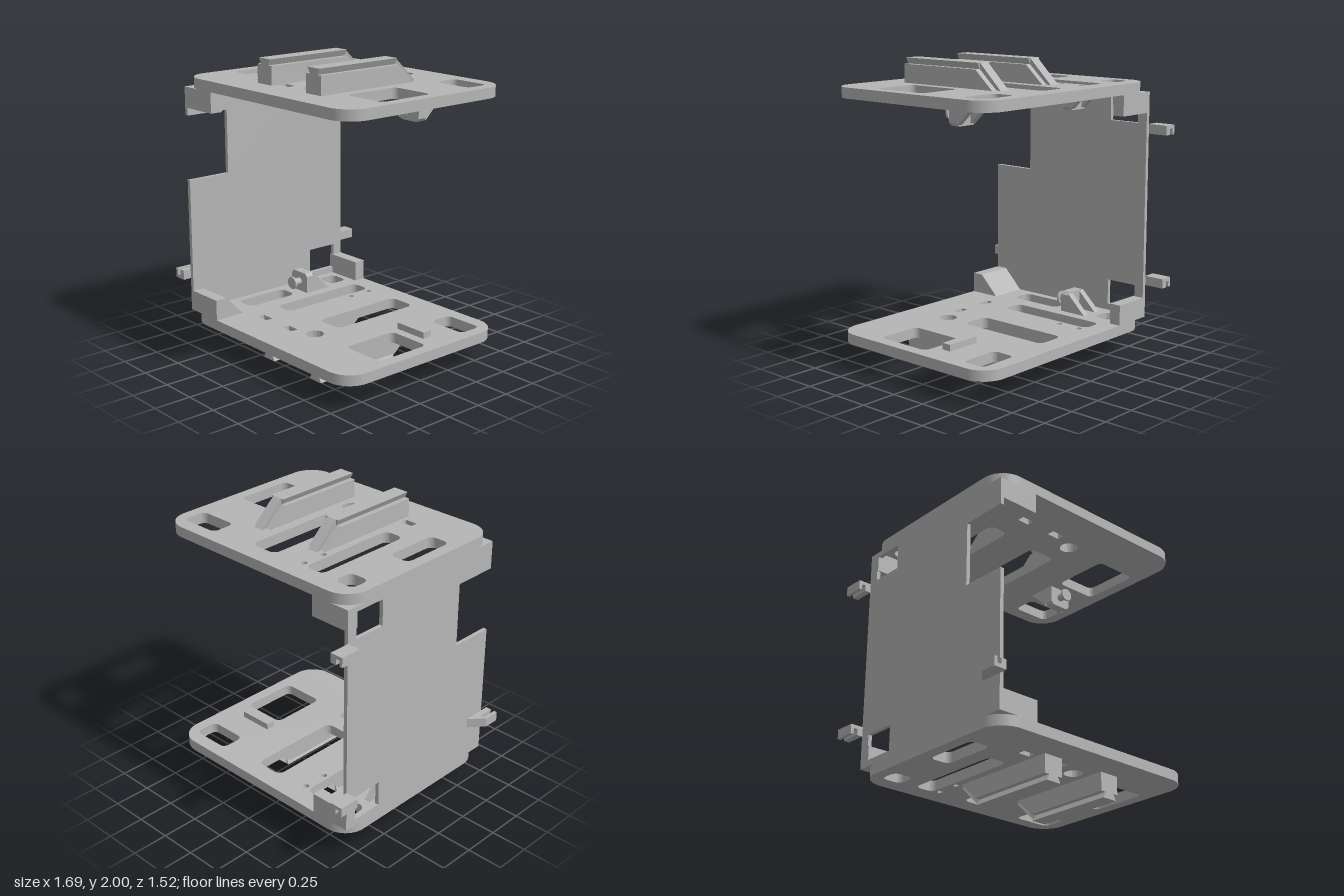
import * as THREE from 'three';

const grey = new THREE.MeshStandardMaterial({ color: 0xb6b6b6 });
grey.name = 'plain grey';
const MID = 1; // height of the symmetry plane between the two decks
const DECK = 1.768, DECK_TOP = 1.838;

function poly(points) {
  return new THREE.Shape(points.map(([a, b]) => new THREE.Vector2(a, b)));
}

// Rounded rectangle, written into a Shape or Path
function roundRect(path, x0, x1, y0, y1, r) {
  path.moveTo(x0 + r, y0);
  path.lineTo(x1 - r, y0);
  path.absarc(x1 - r, y0 + r, r, -Math.PI / 2, 0);
  path.lineTo(x1, y1 - r);
  path.absarc(x1 - r, y1 - r, r, 0, Math.PI / 2);
  path.lineTo(x0 + r, y1);
  path.absarc(x0 + r, y1 - r, r, Math.PI / 2, Math.PI);
  path.lineTo(x0, y0 + r);
  path.absarc(x0 + r, y0 + r, r, Math.PI, Math.PI * 1.5);
  return path;
}

// Extrude an outline of [z, y] points from x0 to x1
function sideways(points, x0, x1, holes = []) {
  const flip = (list) => list.map(([z, y]) => [-z, y]);
  const shape = poly(flip(points));
  shape.holes = holes.map((h) => poly(flip(h)));
  const g = new THREE.ExtrudeGeometry(shape, { depth: x1 - x0, bevelEnabled: false });
  return g.rotateY(Math.PI / 2).translate(x0, 0, 0);
}

// Extrude an outline of [x, y] points from z0 to z1
function forwards(points, z0, z1) {
  return new THREE.ExtrudeGeometry(poly(points), { depth: z1 - z0, bevelEnabled: false }).translate(0, 0, z0);
}

function box(x0, x1, y0, y1, z0, z1) {
  return new THREE.BoxGeometry(x1 - x0, y1 - y0, z1 - z0)
    .translate((x0 + x1) / 2, (y0 + y1) / 2, (z0 + z1) / 2);
}

// Skin two four-sided cross-sections into a closed solid
function loft(s, t) {
  const pos = [];
  const quad = (a, b, c, d) => pos.push(...a, ...b, ...c, ...a, ...c, ...d);
  for (let k = 0; k < 4; k++) {
    const n = (k + 1) % 4;
    quad(s[k], t[k], t[n], s[n]);
  }
  quad(...s);
  quad(...[...t].reverse());
  const g = new THREE.BufferGeometry();
  g.setAttribute('position', new THREE.Float32BufferAttribute(pos, 3));
  g.computeVertexNormals();
  return g;
}

// Mirror a geometry to the lower deck, keeping its faces outward
function mirrored(geometry) {
  const g = geometry.index ? geometry.toNonIndexed() : geometry.clone();
  for (const name of ['position', 'normal']) {
    const a = g.attributes[name];
    const shift = name === 'position' ? 2 * MID : 0;
    for (let i = 0; i < a.count; i += 3) {
      const v = [0, 2, 1].map((k) => [a.getX(i + k), shift - a.getY(i + k), a.getZ(i + k)]);
      v.forEach((p, k) => a.setXYZ(i + k, ...p));
    }
  }
  return g;
}

function deckPlate() {
  const shape = roundRect(new THREE.Shape(), -0.76, 0.84, -0.7, 0.62, 0.16);
  // Openings: x0, x1, z0, z1, corner radius
  const slots = [
    [-0.68, -0.535, -0.5, -0.36, 0.045], [-0.68, -0.535, -0.02, 0.365, 0.045],
    [-0.425, -0.285, -0.485, 0.228, 0.045], [-0.025, 0.175, -0.485, 0.185, 0.045],
    [0.48, 0.76, -0.525, -0.36, 0.04], [0.45, 0.76, -0.035, 0.365, 0.04],
    [-0.345, -0.255, 0.4, 0.45, 0.004], [-0.08, 0.012, 0.4, 0.45, 0.004],
  ];
  for (const [x0, x1, z0, z1, r] of slots) shape.holes.push(roundRect(new THREE.Path(), x0, x1, -z1, -z0, r));
  for (const [x, z, r] of [[0.145, 0.365, 0.06], [-0.245, -0.455, 0.02], [-0.245, -0.29, 0.02]]) {
    shape.holes.push(new THREE.Path().absarc(x, -z, r, 0, Math.PI * 2));
  }
  return new THREE.ExtrudeGeometry(shape, { depth: DECK_TOP - DECK, bevelEnabled: false, curveSegments: 10 })
    .rotateX(-Math.PI / 2).translate(0, DECK, 0);
}

// Rail: square body with a dovetail that bends down the rear slope
function railParts(x) {
  const body = sideways([[0.505, DECK_TOP], [0.505, 1.96], [-0.122, 1.96], [-0.26, DECK_TOP]], x - 0.07, x + 0.07);
  const section = (zIn, yIn, wIn, zOut, yOut, wOut) => [
    [x - wIn, yIn, zIn], [x + wIn, yIn, zIn], [x + wOut, yOut, zOut], [x - wOut, yOut, zOut]];
  const top = loft(
    section(0.505, 1.952, 0.03, 0.505, 2, 0.055),
    section(-0.122, 1.952, 0.03, -0.13, 2, 0.055));
  const slope = loft(
    section(-0.115, 1.957, 0.028, -0.13, 2, 0.036),
    section(-0.255, DECK_TOP, 0.028, -0.3, DECK_TOP, 0.036));
  return [['railBody', body], ['railDovetail', top], ['railSlope', slope]];
}

// Latch: chamfered block, headed pin and two rear gussets
function latchParts(x) {
  const w = 0.083, c = 0.02;
  const block = forwards([[x - w, DECK], [x - w, 1.63 + c], [x - w + c, 1.63], [x + w - c, 1.63],
    [x + w, 1.63 + c], [x + w, DECK]], -0.165, -0.1);
  const disc = (r, z0, z1) => new THREE.CylinderGeometry(r, r, z1 - z0, 24)
    .rotateX(Math.PI / 2).translate(x, 1.7, (z0 + z1) / 2);
  const parts = [['latchBlock', block], ['latchPin', disc(0.026, -0.105, -0.04)], ['latchPinHead', disc(0.044, -0.045, -0.03)]];
  for (const gx of [x - w, x + w - 0.045]) {
    parts.push(['latchGusset', sideways([[-0.16, DECK], [-0.16, 1.635], [-0.3, DECK]], gx, gx + 0.045)]);
  }
  return parts;
}

// Clip with a groove; dir is +1 when the groove opens upward
function clipGeometry(y, dir, z0, z1) {
  const h = 0.032;
  const pts = [[-0.85, -h], [-0.76, -h], [-0.76, h], [-0.8, h], [-0.8, -0.008], [-0.828, -0.008], [-0.828, h], [-0.85, h]]
    .map(([px, py]) => [px, y + dir * py]);
  return forwards(pts, z0, z1);
}

export function createModel() {
  const model = new THREE.Group();
  model.name = 'bracketFrame';
  const add = (name, geometry) => {
    const mesh = new THREE.Mesh(geometry, grey);
    mesh.name = name;
    model.add(mesh);
  };

  // Parts shared by the upper and lower decks
  const deck = [
    ['deckPlate', deckPlate()],
    ['frontCornerBlock', sideways([[0.7, DECK], [0.7, 1.63], [0.62, 1.63], [0.482, DECK]], -0.76, -0.47)],
    ['backCornerBlock', box(-0.76, -0.475, 1.63, DECK, -0.62, -0.54)],
    ...railParts(-0.16), ...railParts(0.315), ...latchParts(-0.58),
  ];
  for (const [name, geometry] of deck) {
    add('upper ' + name, geometry);
    add('lower ' + name, mirrored(geometry));
  }

  // Second latch above, plain stop bar below
  for (const [name, geometry] of latchParts(0.512)) add('upper ' + name, geometry);
  add('stopBar', box(0.43, 0.672, 2 * MID - DECK, 0.275, -0.165, -0.1));

  // Side wall with a front notch and two rear windows
  const windowAt = (y0, y1) => [[-0.325, y0], [-0.55, y0], [-0.55, y1], [-0.325, y1]];
  const floor = 2 * MID - DECK;
  add('sideWall', sideways([
    [0.7, floor], [-0.62, floor], [-0.62, DECK], [0.7, DECK],
    [0.7, 1.578], [0.388, 1.578], [0.388, 1.142], [0.7, 1.142],
  ], -0.76, -0.733, [windowAt(0.276, 0.448), windowAt(1.558, 1.733)]));

  // Cable clips on the wall edges
  add('upperBackClip', clipGeometry(1.522, -1, -0.76, -0.617));
  add('lowerBackClip', clipGeometry(0.487, -1, -0.76, -0.617));
  add('frontClip', clipGeometry(0.487, 1, 0.645, 0.757));
  const arm = poly([[-0.76, -0.55], [-0.85, -0.645], [-0.76, -0.645]]);
  add('frontClipArm', new THREE.ExtrudeGeometry(arm, { depth: 0.064, bevelEnabled: false })
    .rotateX(-Math.PI / 2).translate(0, 0.455, 0));
  return model;
}
